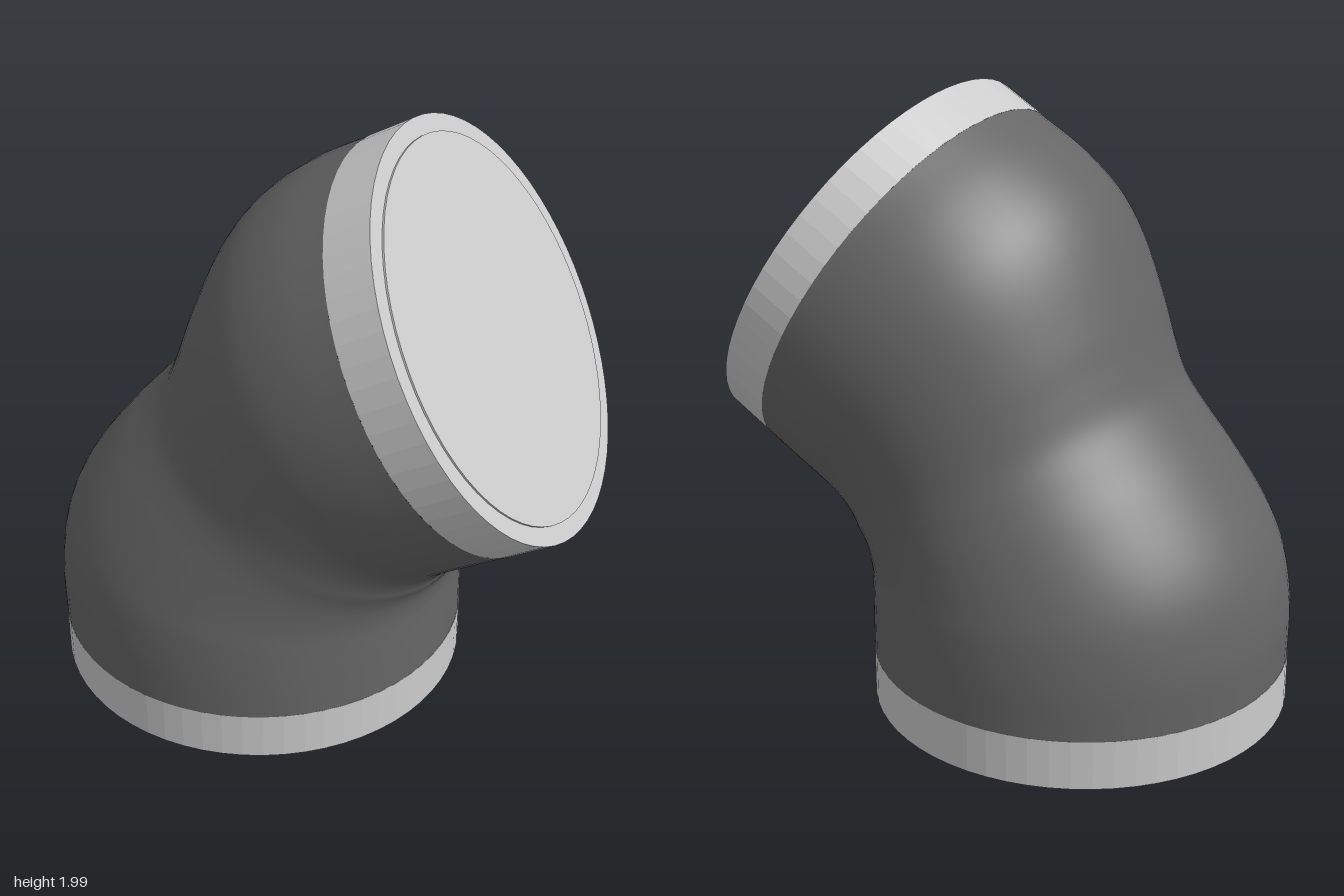
import * as THREE from 'three';

const R = 0.688; // pipe radius
const LIP = 0.006; // how far the end discs stand proud
const COLLAR = 0.164;

// Half of the bend: outer edge (x, y), inner edge (x, y), half width in z
const HALF = [
  [-0.918, 0.17, 0.456, 0.17, 0.688],
  [-0.918, 0.36, 0.456, 0.29, 0.688],
  [-0.885, 0.54, 0.456, 0.38, 0.679],
  [-0.82, 0.68, 0.458, 0.43, 0.664],
  [-0.68, 0.87, 0.466, 0.475, 0.645],
  [-0.58, 0.985, 0.477, 0.5, 0.635],
  [-0.5, 1.09, 0.49, 0.52, 0.632],
];

// Mirror a point across the mid plane of the 60 degree bend
function mirrorPoint(x, y) {
  const nx = 0.5, ny = Math.sqrt(3) / 2;
  const d = (x - 0.17) * nx + (y - 0.7) * ny;
  return [x - 2 * d * nx, y - 2 * d * ny];
}

// Loft elliptical sections between the outer and inner edge curves
function elbowGeometry(rows = 56, sides = 72) {
  const mirrored = HALF.slice(0, -1).reverse().map(([ox, oy, ix, iy, w]) =>
    [...mirrorPoint(ox, oy), ...mirrorPoint(ix, iy), w]);
  const sections = [...HALF, ...mirrored];
  const outer = new THREE.CatmullRomCurve3(sections.map(s => new THREE.Vector3(s[0], s[1], s[4])));
  const inner = new THREE.CatmullRomCurve3(sections.map(s => new THREE.Vector3(s[2], s[3], s[4])));
  const positions = [], index = [];
  for (let i = 0; i <= rows; i++) {
    const o = outer.getPoint(i / rows), n = inner.getPoint(i / rows);
    for (let j = 0; j < sides; j++) {
      const a = (j / sides) * Math.PI * 2, c = Math.cos(a);
      positions.push(
        (o.x + n.x) / 2 + (c * (o.x - n.x)) / 2,
        (o.y + n.y) / 2 + (c * (o.y - n.y)) / 2,
        o.z * Math.sin(a));
      if (i === rows) continue;
      const k = (j + 1) % sides;
      const p = i * sides + j, q = i * sides + k;
      index.push(p, q, p + sides, q, q + sides, p + sides);
    }
  }
  const g = new THREE.BufferGeometry();
  g.setAttribute('position', new THREE.Float32BufferAttribute(positions, 3));
  g.setIndex(index);
  g.computeVertexNormals();
  return g;
}

// Collar with a slightly raised end disc; local origin at the outer face, -y points outward
function makeEnd(name, material) {
  const end = new THREE.Group();
  end.name = name;
  const collar = new THREE.Mesh(new THREE.CylinderGeometry(R, R, COLLAR, 64), material);
  collar.name = 'collar';
  collar.position.y = LIP + COLLAR / 2;
  const disc = new THREE.Mesh(new THREE.CylinderGeometry(0.628, 0.628, 0.05, 64), material);
  disc.name = 'endDisc';
  disc.position.y = 0.025;
  end.add(collar, disc);
  return end;
}

export function createModel() {
  const model = new THREE.Group();
  model.name = 'pipeElbow';
  const grey = new THREE.MeshStandardMaterial({ color: 0xcccccc, flatShading: true });
  const dark = new THREE.MeshStandardMaterial({ color: 0x666666 });

  // Curved body
  const body = new THREE.Mesh(elbowGeometry(), dark);
  body.name = 'elbowBody';
  model.add(body);

  // Bottom and tilted upper ends
  const bottom = makeEnd('bottomEnd', grey);
  bottom.position.set(-0.231, 0, 0);
  const upper = makeEnd('upperEnd', grey);
  upper.position.set(...mirrorPoint(-0.231, 0), 0);
  upper.rotation.z = THREE.MathUtils.degToRad(120);
  model.add(bottom, upper);
  return model;
}
